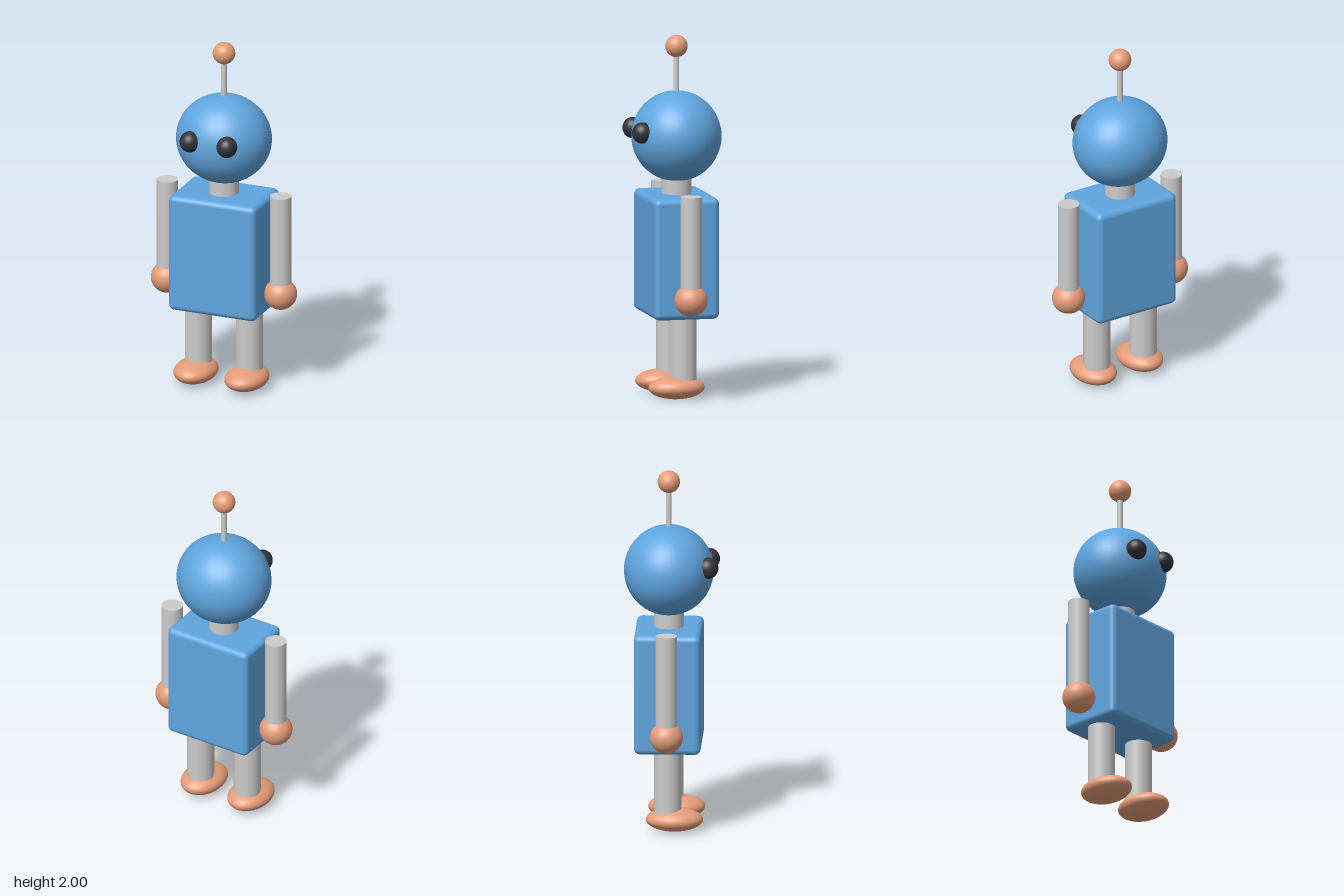
import * as THREE from 'three';
import { RoundedBoxGeometry } from 'three/addons/geometries/RoundedBoxGeometry.js';

const grey = new THREE.MeshStandardMaterial({ color: 0xcccccc });
const blue = new THREE.MeshStandardMaterial({ color: 0x5fa5df });
const orange = new THREE.MeshStandardMaterial({ color: 0xe59c78 });
const black = new THREE.MeshStandardMaterial({ color: 0x333338 });

const AXIS_Z = -0.016; // depth of the head, neck, arm and leg axes

export function createModel() {
  const model = new THREE.Group();
  model.name = 'robot';

  const add = (name, geometry, material, x, y, z) => {
    const mesh = new THREE.Mesh(geometry, material);
    mesh.name = name;
    mesh.position.set(x, y, z);
    model.add(mesh);
    return mesh;
  };
  const ellipsoid = (name, material, [rx, ry, rz], x, y, z) =>
    add(name, new THREE.SphereGeometry(1, 48, 32), material, x, y, z).scale.set(rx, ry, rz);
  const post = (name, radius, bottom, top, x) =>
    add(name, new THREE.CylinderGeometry(radius, radius, top - bottom, 40), grey, x, (bottom + top) / 2, AXIS_Z);

  // Body, neck and head
  add('body', new RoundedBoxGeometry(0.52, 0.672, 0.367, 5, 0.032), blue, 0, 0.787, AXIS_Z);
  post('neck', 0.082, 1.1, 1.24, 0);
  ellipsoid('head', blue, [0.267, 0.25, 0.247], 0, 1.44, AXIS_Z);

  // Antenna
  post('antennaStalk', 0.0155, 1.66, 1.92, 0);
  ellipsoid('antennaBall', orange, [0.0625, 0.0615, 0.0615], 0, 1.9385, AXIS_Z);

  // Paired parts: the model's left is +x
  for (const [side, s] of [['left', 1], ['right', -1]]) {
    ellipsoid(side + 'Eye', black, [0.057, 0.059, 0.058], s * 0.11, 1.478, 0.203);
    post(side + 'Arm', 0.059, 0.6, 1.148, s * 0.338);
    ellipsoid(side + 'Hand', orange, [0.091, 0.088, 0.091], s * 0.338, 0.573, AXIS_Z);
    post(side + 'Leg', 0.075, 0.08, 0.48, s * 0.152);
    ellipsoid(side + 'Foot', orange, [0.117, 0.064, 0.157], s * 0.152, 0.066, 0.021);
  }
  return model;
}
